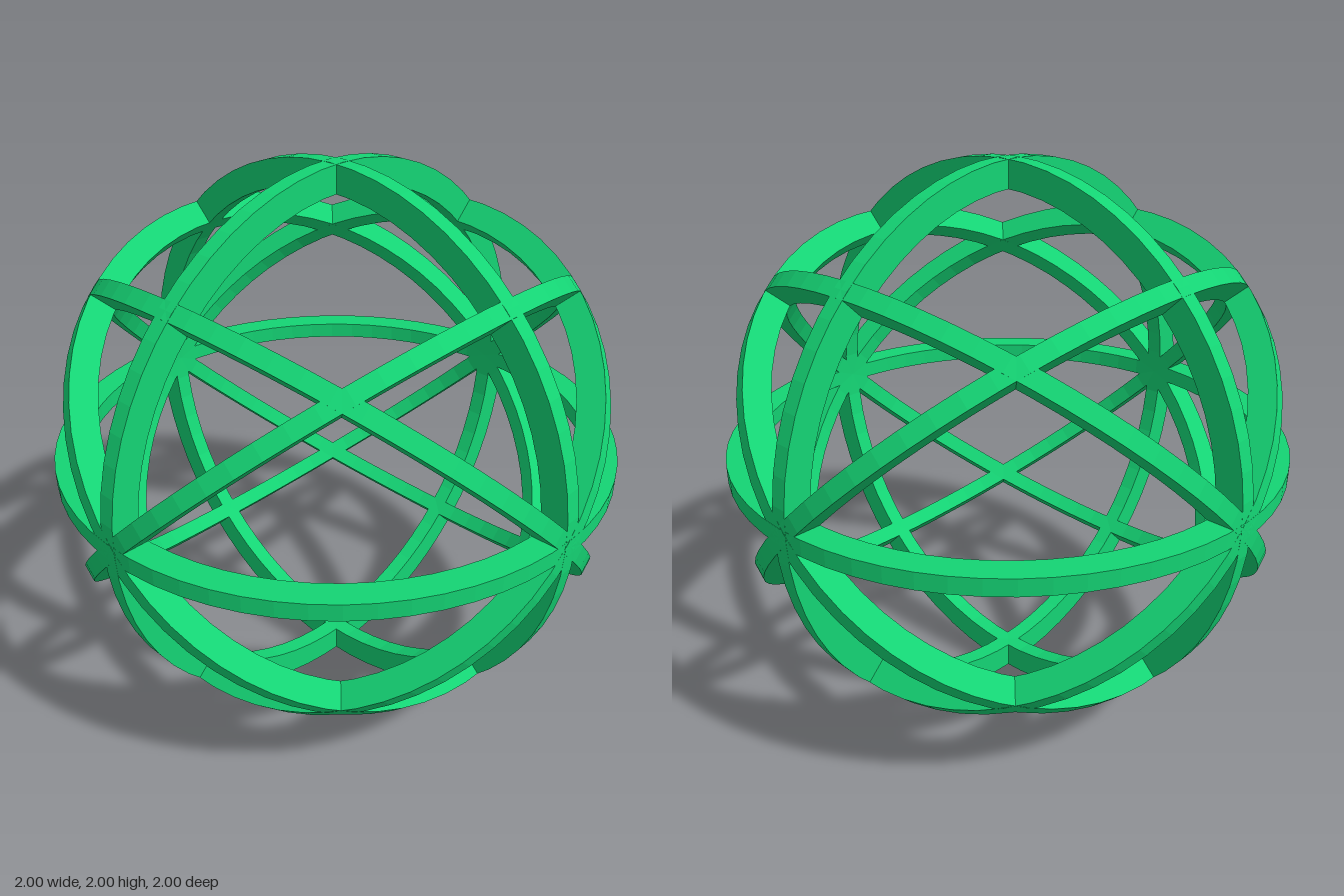
import * as THREE from 'three';

const OUTER = 1, INNER = 0.905, WIDTH = 0.06;

// Flat hoop with a rectangular section, lying in the xy plane
function hoopGeometry() {
  const shape = new THREE.Shape().absarc(0, 0, OUTER, 0, Math.PI * 2, false);
  shape.holes.push(new THREE.Path().absarc(0, 0, INNER, 0, Math.PI * 2, true));
  return new THREE.ExtrudeGeometry(shape, { depth: WIDTH, bevelEnabled: false, curveSegments: 32 })
    .translate(0, 0, -WIDTH / 2);
}

export function createModel() {
  const group = new THREE.Group();
  group.name = 'hoopSphere';
  const material = new THREE.MeshStandardMaterial({ color: 0x14d474, flatShading: true });
  const aroundX = hoopGeometry();
  const aroundZ = hoopGeometry().rotateY(Math.PI / 2);

  const addHoop = (name, geometry, axis, degrees) => {
    const hoop = new THREE.Mesh(geometry, material);
    hoop.name = name;
    hoop.rotation[axis] = THREE.MathUtils.degToRad(degrees);
    hoop.position.y = 1;
    group.add(hoop);
  };

  // Three hoops square to each other
  addHoop('frontHoop', aroundX, 'x', 0);
  addHoop('horizontalHoop', aroundX, 'x', 90);
  addHoop('sideHoop', aroundZ, 'z', 0);

  // Diagonal pairs sharing the x axis and the z axis
  for (const angle of [45, -45]) {
    addHoop('forwardTiltedHoop', aroundX, 'x', angle);
    addHoop('sidewaysTiltedHoop', aroundZ, 'z', angle);
  }
  return group;
}
